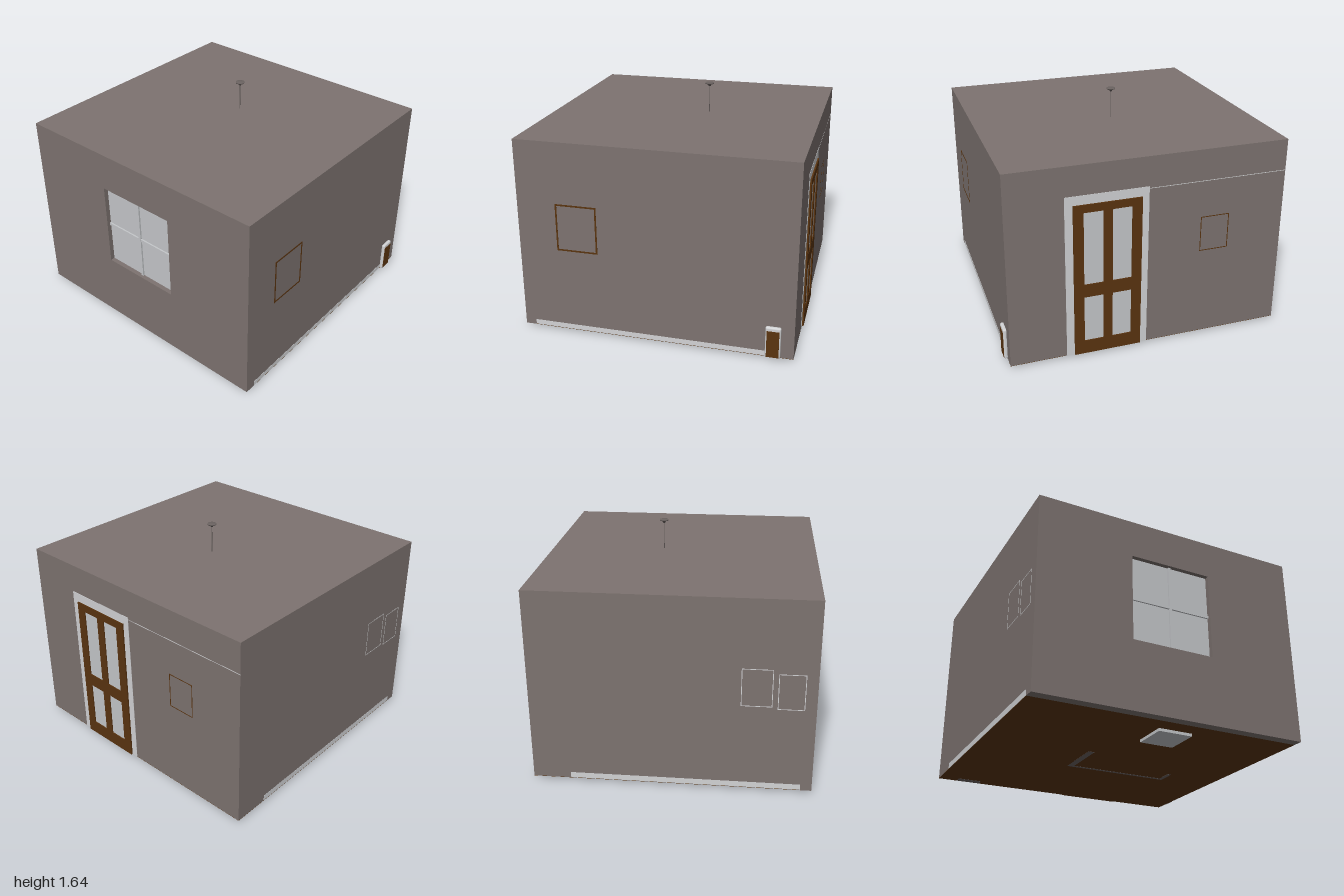
import * as THREE from 'three';
import { RoundedBoxGeometry } from 'three/addons/geometries/RoundedBoxGeometry.js';

const mat = (name, color) => {
  const m = new THREE.MeshStandardMaterial({ color });
  m.name = name;
  return m;
};

export function createModel() {
  const wall = mat('taupe wall', 0x7d7370);
  const wood = mat('brown wood', 0x5a3410);
  const pale = mat('pale glass', 0xc5c7ca);
  const white = mat('white trim', 0xd2d3d5);
  const metal = mat('lamp metal', 0x6c6462);

  const room = new THREE.Group();
  room.name = 'room';

  const add = (name, geometry, material, parent = room) => {
    const mesh = new THREE.Mesh(geometry, material);
    mesh.name = name;
    parent.add(mesh);
    return mesh;
  };
  // Box given by its limits on each axis
  const box = (name, material, [x0, x1], [y0, y1], [z0, z1], parent) => {
    const mesh = add(name, new THREE.BoxGeometry(x1 - x0, y1 - y0, z1 - z0), material, parent);
    mesh.position.set((x0 + x1) / 2, (y0 + y1) / 2, (z0 + z1) / 2);
    return mesh;
  };
  const rect = (path, x0, x1, y0, y1) =>
    path.moveTo(x0, y0).lineTo(x1, y0).lineTo(x1, y1).lineTo(x0, y1).closePath();

  const L = -1, R = 0.975, B = 0.02, T = 1.42, BACK = -0.965, FRONT = 0.978, INNER = 0.908;

  // Shell and floor
  box('shell', wall, [L, R], [B + 0.002, T], [BACK, INNER]);
  box('floor', wood, [L, R], [B, B + 0.002], [BACK, INNER]);

  // Front wall with window opening
  const frontShape = new THREE.Shape();
  rect(frontShape, L, R, B, T);
  const opening = new THREE.Path();
  rect(opening, -0.315, 0.29, 0.515, 1.145);
  frontShape.holes.push(opening);
  add('frontWall', new THREE.ExtrudeGeometry(frontShape, { depth: FRONT - INNER, bevelEnabled: false }), wall)
    .position.z = INNER;

  // Window
  const windowGroup = new THREE.Group();
  windowGroup.name = 'window';
  room.add(windowGroup);
  box('windowGlass', pale, [-0.315, 0.29], [0.515, 1.145], [0.93, 0.945], windowGroup);
  box('verticalBar', pale, [-0.022, -0.002], [0.515, 1.145], [0.945, 0.957], windowGroup);
  box('horizontalBar', pale, [-0.315, 0.29], [0.82, 0.84], [0.945, 0.956], windowGroup);

  // Door leaf with four openings
  const door = new THREE.Group();
  door.name = 'door';
  room.add(door);
  const leaf = new THREE.Shape();
  rect(leaf, 0.05, 0.525, B, 1.145);
  for (const [x0, x1] of [[0.12, 0.255], [0.32, 0.455]]) {
    for (const [y0, y1] of [[0.12, 0.465], [0.56, 1.09]]) {
      const hole = new THREE.Path();
      rect(hole, x0, x1, y0, y1);
      leaf.holes.push(hole);
    }
  }
  add('doorLeaf', new THREE.ExtrudeGeometry(leaf, { depth: 0.013, bevelEnabled: false }), wood, door)
    .position.z = -0.978;
  box('doorGlass', pale, [0.06, 0.515], [0.1, 1.12], [-0.97, BACK], door);

  // Door surround and rail line
  for (const [x0, x1] of [[0, 0.05], [0.525, 0.58]])
    box('doorJamb', white, [x0, x1], [B, 1.145], [BACK - 0.002, BACK], door);
  box('doorHead', white, [0, 0.58], [1.145, 1.21], [BACK - 0.002, BACK], door);
  box('pictureRail', white, [L, 0], [1.193, 1.197], [BACK - 0.001, BACK]);

  // Thin rectangular outlines on the walls; place maps (u, y) to box limits
  const outline = (name, material, u0, u1, y0, y1, t, place) => {
    const group = new THREE.Group();
    group.name = name;
    room.add(group);
    const bars = [
      [[u0, u1], [y0, y0 + t]], [[u0, u1], [y1 - t, y1]],
      [[u0, u0 + t], [y0 + t, y1 - t]], [[u1 - t, u1], [y0 + t, y1 - t]],
    ];
    for (const [u, y] of bars) box('frameBar', material, ...place(u, y), group);
  };
  const onLeft = (u, y) => [[R, R + 0.001], y, u];
  const onRight = (u, y) => [[L - 0.0005, L], y, u];
  const onBack = (u, y) => [u, y, [BACK - 0.001, BACK]];
  outline('leftPicture', wood, 0.405, 0.7, 0.635, 0.98, 0.012, onLeft);
  outline('rightPictureA', white, 0.476, 0.685, 0.655, 0.93, 0.005, onRight);
  outline('rightPictureB', white, 0.72, 0.9, 0.64, 0.9, 0.005, onRight);
  outline('backPicture', wood, -0.59, -0.38, 0.67, 0.93, 0.006, onBack);

  // Skirting boards
  box('leftSkirting', white, [R, R + 0.001], [B + 0.004, B + 0.04], [-0.82, 0.9]);
  box('rightSkirting', white, [L - 0.0005, L], [B + 0.004, B + 0.045], [-0.7, 0.9]);

  // Underside pieces
  box('baseBlock', pale, [-0.03, 0.22], [0, B], [0.53, 0.785]);
  box('rugEdgeLong', metal, [-0.235, 0.57], [B - 0.001, B], [-0.225, -0.2]);
  box('rugEdgeShort', metal, [-0.235, -0.19], [B - 0.001, B], [-0.2, 0.15]);
  box('rugCorner', metal, [0.54, 0.57], [B - 0.001, B], [-0.2, -0.07]);
  box('cornerPatch', metal, [-0.86, -0.68], [B - 0.001, B], [-0.96, -0.9]);

  // Small cabinet on the left wall
  const cabinet = new THREE.Group();
  cabinet.name = 'wallCabinet';
  room.add(cabinet);
  add('cabinetBody', new RoundedBoxGeometry(0.03, 0.232, 0.106, 3, 0.012), white, cabinet)
    .position.set(0.983, 0.139, -0.823);
  box('cabinetFront', wood, [0.99, 1], [0.03, 0.228], [-0.866, -0.78], cabinet);

  // Pendant mount above the roof
  const pendant = new THREE.Group();
  pendant.name = 'pendantMount';
  pendant.position.set(-0.013, 0, -0.143);
  room.add(pendant);
  add('cord', new THREE.CylinderGeometry(0.0025, 0.0025, 0.2, 8), metal, pendant).position.y = 1.52;
  const profile = [[0, 1.612], [0.007, 1.614], [0.012, 1.625], [0.032, 1.633], [0.032, 1.64], [0, 1.64]];
  add('canopy', new THREE.LatheGeometry(profile.map(([r, y]) => new THREE.Vector2(r, y)), 24), metal, pendant);

  return room;
}
